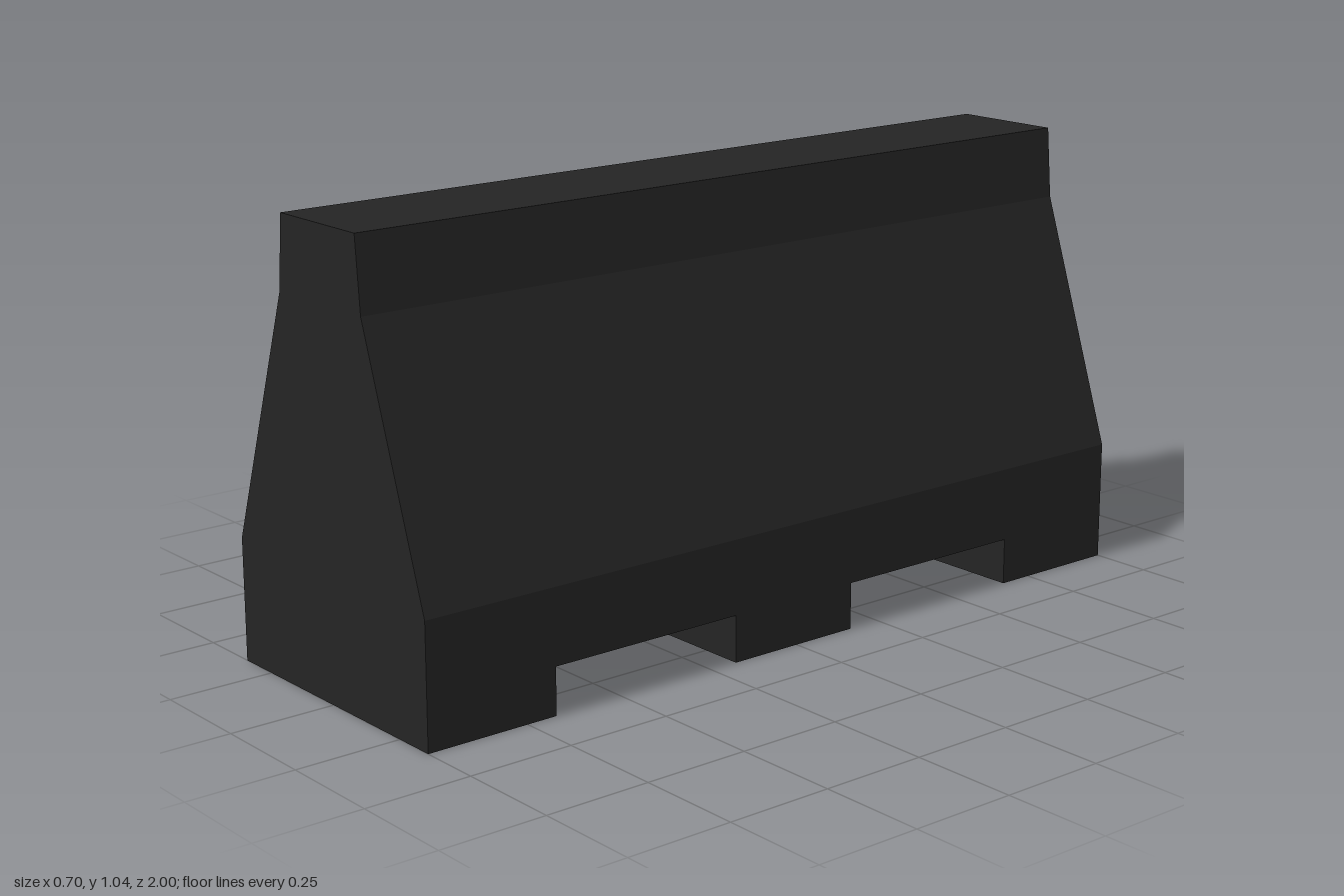
import * as THREE from 'three';

export function createModel() {
  const group = new THREE.Group();
  group.name = 'trafficBarrier';
  const darkConcrete = new THREE.MeshStandardMaterial({ color: 0x242424 });
  darkConcrete.name = 'darkConcrete';

  const halfWidth = 0.352, notchHeight = 0.11;

  // Tapered body: the end profile swept along the full length
  const right = [[halfWidth, notchHeight], [halfWidth, 0.285], [0.153, 0.872], [0.139, 1.04]];
  const left = right.map(([x, y]) => [-x, y]).reverse();
  const profile = new THREE.Shape([...right, ...left].map(([x, y]) => new THREE.Vector2(x, y)));
  const bodyGeometry = new THREE.ExtrudeGeometry(profile, { depth: 2, bevelEnabled: false });
  bodyGeometry.translate(0, 0, -1);
  const body = new THREE.Mesh(bodyGeometry, darkConcrete);
  body.name = 'body';
  group.add(body);

  // Three feet, leaving two forklift notches between them
  const feet = { frontFoot: [0.675, 1], middleFoot: [-0.165, 0.18], backFoot: [-1, -0.665] };
  for (const [name, [z0, z1]] of Object.entries(feet)) {
    const foot = new THREE.Mesh(new THREE.BoxGeometry(halfWidth * 2, notchHeight, z1 - z0), darkConcrete);
    foot.position.set(0, notchHeight / 2, (z0 + z1) / 2);
    foot.name = name;
    group.add(foot);
  }
  return group;
}
